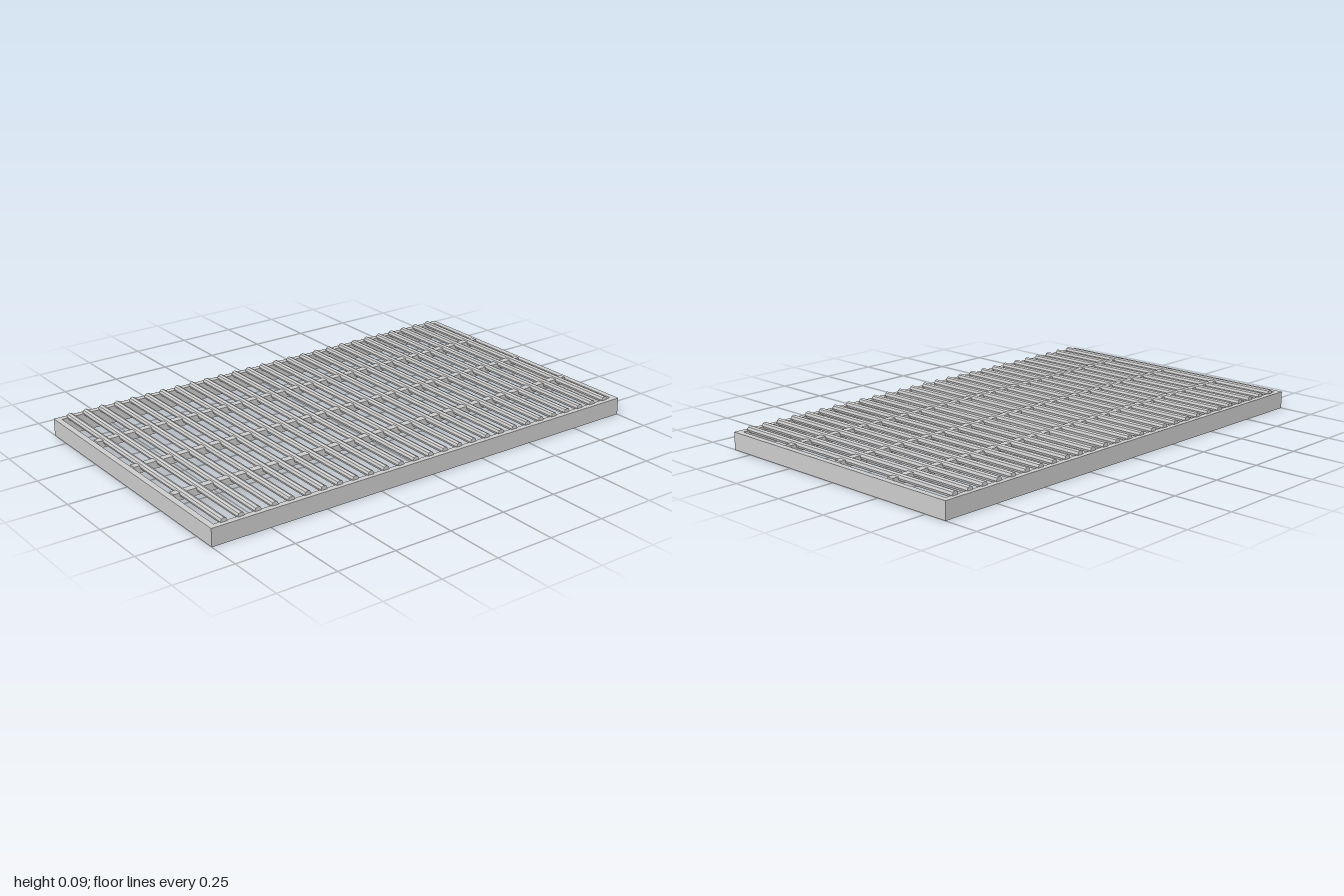
import * as THREE from 'three';

const material = new THREE.MeshStandardMaterial({ color: 0xcccccc, flatShading: true });

const HALF_W = 0.6, HALF_L = 1, FRAME_H = 0.073, WALL = 0.025;
const SLATS = 27, SLAT_SPAN = 0.936, SLAT_R = 0.0145, SLAT_TOP = 0.09;

function add(group, name, geometry, x, y, z) {
  const mesh = new THREE.Mesh(geometry, material);
  mesh.name = name;
  mesh.position.set(x, y, z);
  group.add(mesh);
  return mesh;
}

// Rectangular ring, extruded upwards
function frameGeometry() {
  const rect = (path, w, l) =>
    path.moveTo(-w, -l).lineTo(w, -l).lineTo(w, l).lineTo(-w, l).closePath();
  const shape = new THREE.Shape();
  rect(shape, HALF_W, HALF_L);
  const hole = new THREE.Path();
  rect(hole, HALF_W - WALL, HALF_L - WALL);
  shape.holes.push(hole);
  return new THREE.ExtrudeGeometry(shape, { depth: FRAME_H, bevelEnabled: false }).rotateX(-Math.PI / 2);
}

export function createModel() {
  const group = new THREE.Group();
  group.name = 'grate';
  add(group, 'frame', frameGeometry(), 0, 0, 0);

  // Long support bars running front to back
  const bar = new THREE.BoxGeometry(0.03, 0.03, 1.95);
  for (const x of [-0.29, 0, 0.29]) add(group, 'supportBar', bar, x, 0.065, 0);

  // Faceted cross slats resting on the frame, ridge upwards
  const slat = new THREE.CylinderGeometry(SLAT_R, SLAT_R, 1.164, 8).rotateZ(Math.PI / 2);
  for (let i = 0; i < SLATS; i++) {
    const z = SLAT_SPAN * (2 * i / (SLATS - 1) - 1);
    add(group, 'crossSlat', slat, 0, SLAT_TOP - SLAT_R, z);
  }
  return group;
}
